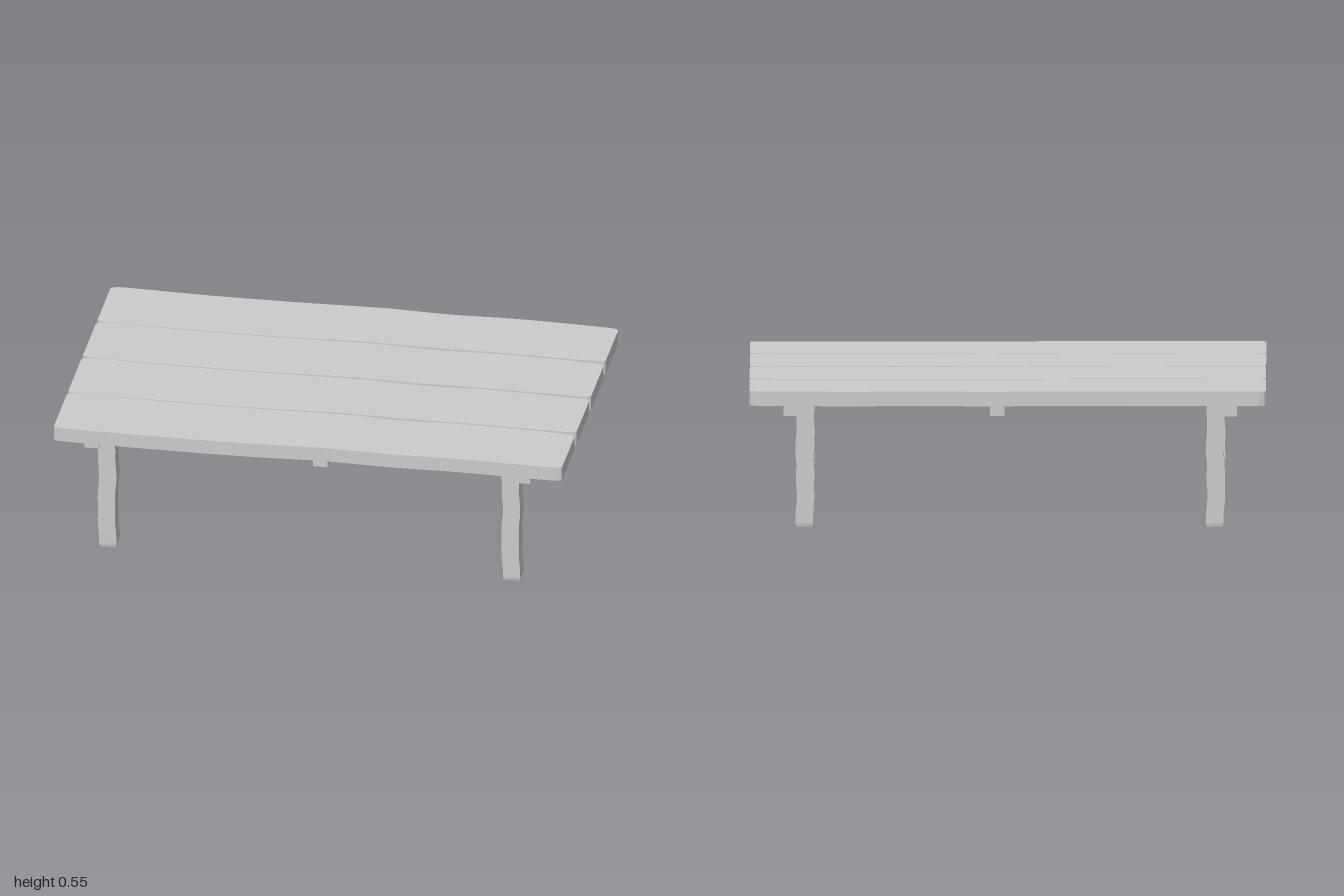
import * as THREE from 'three';

const material = new THREE.MeshStandardMaterial({ color: 0xcccccc });
const PLANK_BOTTOM = 0.488, PLANK_TOP = 0.545;

// Hand-hewn edge offsets: [x, z] along the back and front of a plank centred on z = 0
const backEdge = [[-1, -0.138], [-0.985, -0.149], [-0.93, -0.154], [-0.6, -0.146], [-0.3, -0.149], [-0.1, -0.155],
  [0.1, -0.161], [0.33, -0.152], [0.58, -0.161], [0.8, -0.157], [0.94, -0.151], [0.985, -0.146], [1, -0.135]];
const frontEdge = [[-1, 0.142], [-0.985, 0.149], [-0.9, 0.155], [-0.6, 0.157], [-0.35, 0.156], [-0.15, 0.149],
  [0.05, 0.139], [0.35, 0.144], [0.58, 0.138], [0.8, 0.142], [0.94, 0.143], [0.985, 0.141], [1, 0.133]];

const toVectors = (points) => points.map(([x, z]) => new THREE.Vector2(x, -z));

// Plank with wavy long edges and straight ends, laid flat
function plankGeometry() {
  const shape = new THREE.Shape();
  shape.setFromPoints([
    ...new THREE.SplineCurve(toVectors(frontEdge)).getPoints(60),
    ...new THREE.SplineCurve(toVectors(backEdge)).getPoints(60).reverse(),
  ]);
  const geometry = new THREE.ExtrudeGeometry(shape, { depth: PLANK_TOP - PLANK_BOTTOM, bevelEnabled: false });
  return geometry.rotateX(-Math.PI / 2);
}

// Square post with a slight waver in x and an eased foot
function legGeometry() {
  const height = PLANK_BOTTOM;
  const geometry = new THREE.BoxGeometry(0.068, height, 0.073, 1, 48, 1);
  geometry.translate(0, height / 2, 0);
  const p = geometry.attributes.position;
  for (let i = 0; i < p.count; i++) {
    const y = p.getY(i);
    const ease = y < 0.011 ? 0.9 + 0.1 * (y / 0.011) : 1;
    const waver = 0.0025 * Math.sin(y * 22 + 1) + 0.0012 * Math.sin(y * 47);
    p.setX(i, p.getX(i) * ease + waver);
    p.setZ(i, p.getZ(i) * ease);
  }
  geometry.computeVertexNormals();
  return geometry;
}

export function createModel() {
  const group = new THREE.Group();
  const add = (name, geometry, x, y, z) => {
    const mesh = new THREE.Mesh(geometry, material);
    mesh.name = name;
    mesh.position.set(x, y, z);
    group.add(mesh);
    return mesh;
  };

  // Table top
  const plank = plankGeometry();
  [-0.467, -0.156, 0.156, 0.467].forEach((z, i) => add(`plank${i + 1}`, plank, 0, PLANK_BOTTOM, z));

  // Battens under the planks
  const batten = new THREE.BoxGeometry(0.056, 0.05, 1.114);
  for (const [name, x] of [['rightBatten', -0.86], ['middleBatten', 0.04], ['leftBatten', 0.84]])
    add(name, batten, x, 0.463, 0);

  // Legs
  const leg = legGeometry();
  for (const [side, x] of [['Right', -0.805], ['Left', 0.785]])
    for (const [end, z] of [['front', 0.496], ['back', -0.504]])
      add(`${end}${side}Leg`, leg, x, 0, z);

  return group;
}
